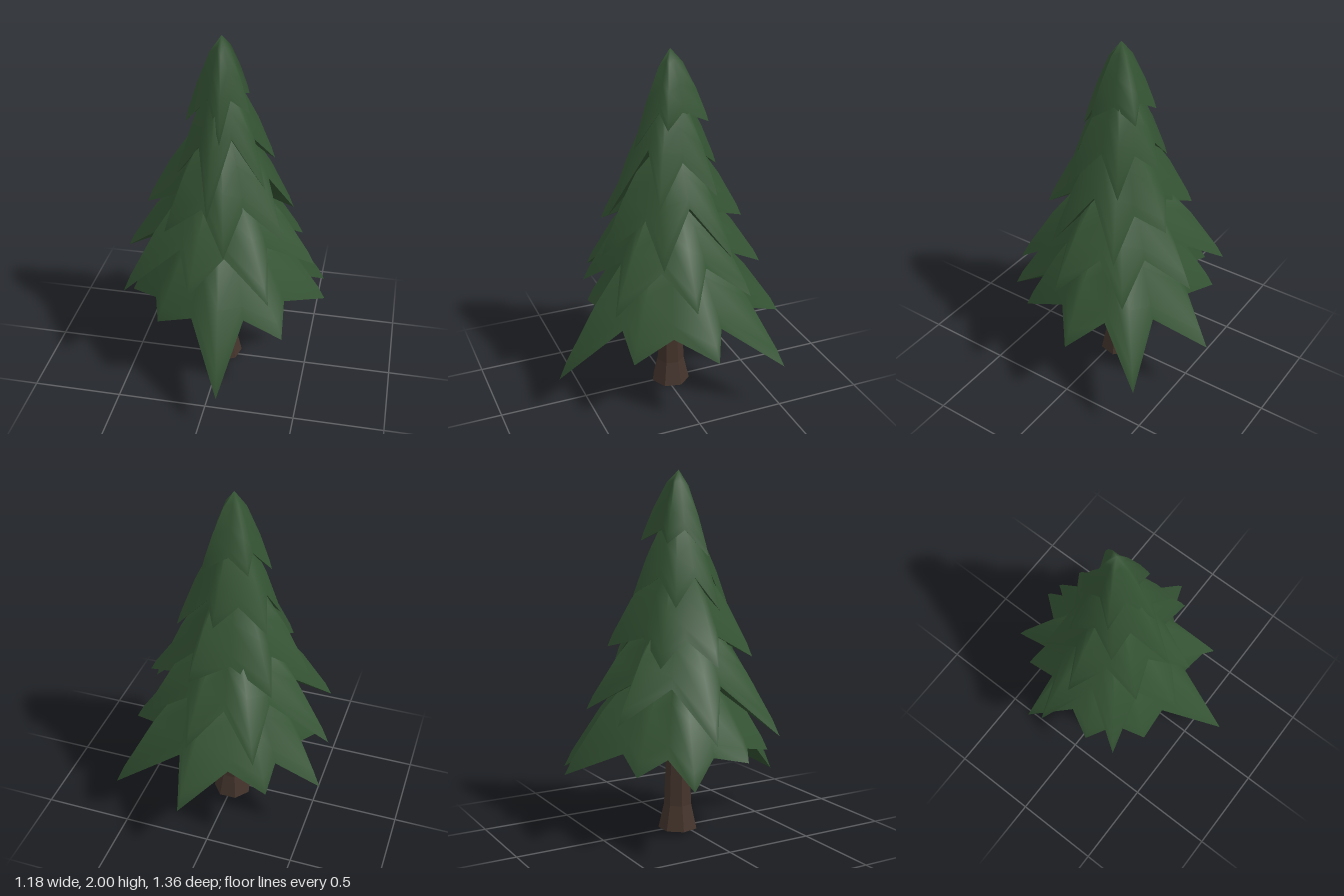
import * as THREE from 'three';

const CX = -0.01, CZ = -0.03; // axis of the tree
const PROFILE = [[0.32, 0.18], [0.67, 0.54], [0.93, 0.88], [1, 1]]; // share of radius, share of drop

// Each tier: height of its peak, notch radius and height, branch tips [x, y, z, height of the notch after it]
const TIERS = [
  { peak: 1.1, notch: [0.41, 0.5], tips: [
    [0.59, 0.43, -0.07], [0.4, 0.41, 0.345], [0.1, 0.22, 0.68], [-0.29, 0.46, 0.38], [-0.505, 0.47, 0.11],
    [-0.59, 0.39, -0.27], [-0.335, 0.43, -0.465], [0.1, 0.37, -0.68], [0.55, 0.285, -0.49]] },
  { peak: 1.33, notch: [0.33, 0.86], tips: [
    [0.53, 0.725, 0.035], [0.33, 0.68, 0.42], [-0.095, 0.71, 0.46], [-0.5, 0.59, 0.31],
    [-0.595, 0.61, -0.14], [-0.285, 0.7, -0.545], [0.09, 0.72, -0.55], [0.42, 0.7, -0.33]] },
  { peak: 1.6, notch: [0.26, 1.11], tips: [
    [0.37, 0.92, 0.16], [0.085, 0.93, 0.405], [-0.26, 0.99, 0.29], [-0.44, 0.98, -0.04],
    [-0.31, 0.98, -0.31], [0.12, 1.05, -0.405], [0.37, 0.92, -0.24, 1.2]] },
  { peak: 1.83, notch: [0.18, 1.43], tips: [
    [0.26, 1.22, 0.14, 1.49], [-0.02, 1.11, 0.33], [-0.23, 1.25, 0.1],
    [-0.24, 1.28, -0.18], [0.02, 1.34, -0.29], [0.26, 1.25, -0.19]] },
  { peak: 2, notch: [0.11, 1.68], tips: [
    [0.155, 1.61, 0.05], [0.02, 1.48, 0.19], [-0.19, 1.54, 0.05], [-0.13, 1.61, -0.17], [0.11, 1.62, -0.2]] },
];

// Star-shaped skirt that bends down from its peak to a zigzag rim, closed by a shallow underside
function tierGeometry({ peak, notch, tips }) {
  const points = tips
    .map(([x, y, z, notchY = notch[1]]) => ({ a: Math.atan2(z - CZ, x - CX), r: Math.hypot(x - CX, z - CZ), y, notchY }))
    .sort((p, q) => p.a - q.a);
  const rim = [];
  points.forEach((p, i) => {
    const next = points[(i + 1) % points.length];
    const gap = (next.a - p.a + Math.PI * 2) % (Math.PI * 2);
    rim.push(p, { a: p.a + gap / 2, r: notch[0], y: p.notchY });
  });

  const n = rim.length;
  const positions = [CX, peak, CZ];
  const addRing = (out, height) => {
    for (const p of rim) {
      positions.push(CX + Math.cos(p.a) * p.r * out, height(p), CZ + Math.sin(p.a) * p.r * out);
    }
  };
  for (const [out, down] of PROFILE) addRing(out, (p) => peak + (p.y - peak) * down);
  addRing(1, (p) => p.y); // second rim keeps the edge sharp
  const under = positions.length / 3;
  positions.push(CX, notch[1] + notch[0] * 0.3, CZ);

  const index = [];
  const lastRing = 1 + PROFILE.length * n;
  for (let i = 0; i < n; i++) {
    const j = (i + 1) % n;
    index.push(0, 1 + j, 1 + i);
    for (let k = 0; k < PROFILE.length - 1; k++) {
      const up = 1 + k * n, low = up + n;
      index.push(up + i, up + j, low + i, up + j, low + j, low + i);
    }
    index.push(under, lastRing + i, lastRing + j);
  }
  const g = new THREE.BufferGeometry();
  g.setAttribute('position', new THREE.Float32BufferAttribute(positions, 3));
  g.setIndex(index);
  g.computeVertexNormals();
  return g;
}

// Faceted trunk with a flared, closed foot
function trunkGeometry() {
  const profile = [[0, 0], [0.112, 0], [0.08, 0.14], [0.064, 0.5], [0.045, 1]]
    .map(([r, y]) => new THREE.Vector2(r, y));
  const g = new THREE.LatheGeometry(profile, 7).toNonIndexed();
  g.computeVertexNormals();
  return g;
}

export function createModel() {
  const needles = new THREE.MeshStandardMaterial({ color: 0x355434, side: THREE.DoubleSide });
  needles.name = 'needle green';
  const bark = new THREE.MeshStandardMaterial({ color: 0x44342c });
  bark.name = 'bark brown';

  const tree = new THREE.Group();
  tree.name = 'pineTree';

  const trunk = new THREE.Mesh(trunkGeometry(), bark);
  trunk.name = 'trunk';
  trunk.position.set(0, 0, CZ);
  tree.add(trunk);

  TIERS.forEach((tier, i) => {
    const mesh = new THREE.Mesh(tierGeometry(tier), needles);
    mesh.name = `branchTier${i + 1}`;
    tree.add(mesh);
  });
  return tree;
}
